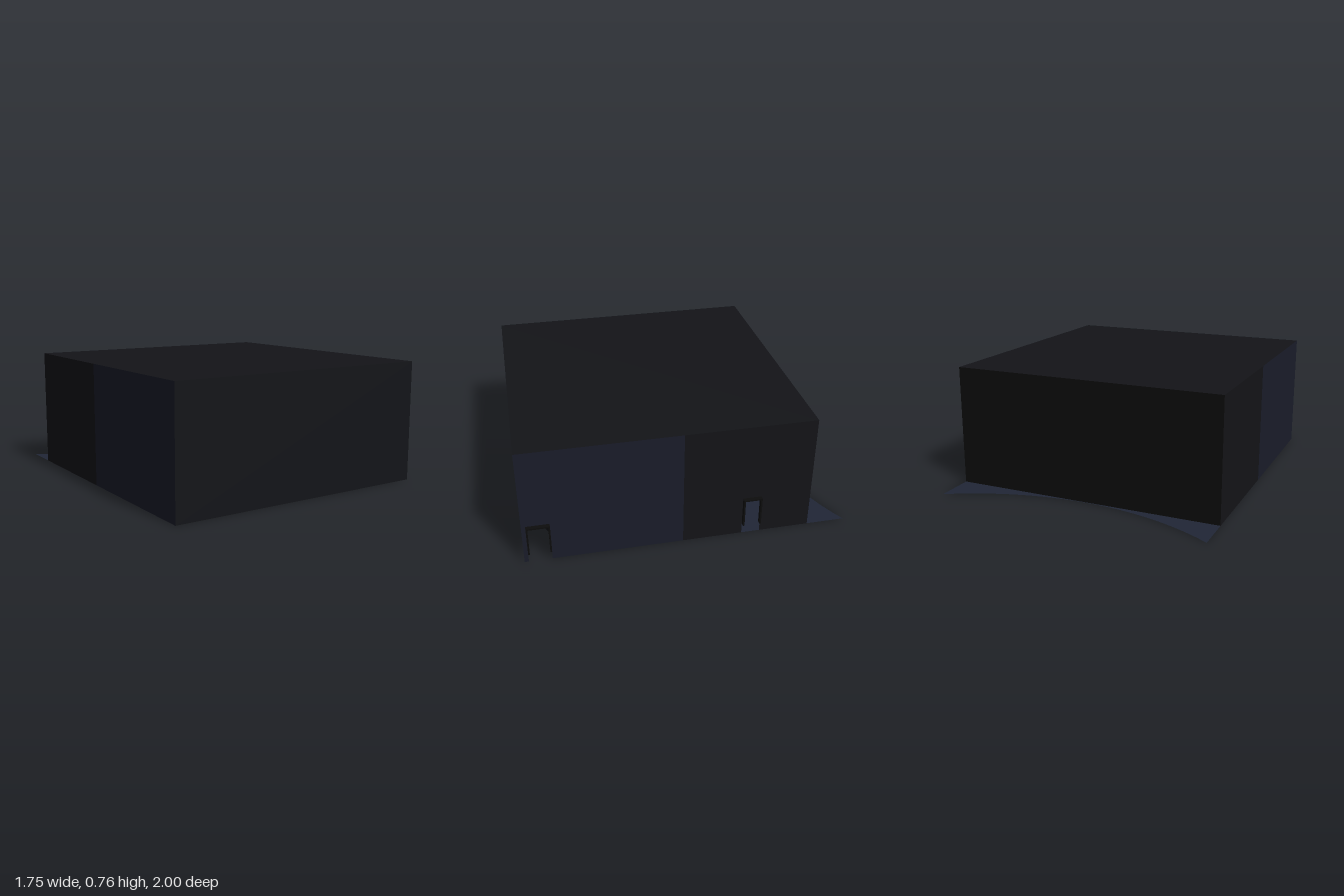
import * as THREE from 'three';
import { toCreasedNormals } from 'three/addons/utils/BufferGeometryUtils.js';

const LEFT = 0.85, RIGHT = -0.875, MID = (LEFT + RIGHT) / 2, WIDTH = LEFT - RIGHT;
const FRONT = 1, BACK = -0.76, HEIGHT = 0.76, SPLIT = 0.04;
const DOOR_TOP = 0.26;
const doors = [[-0.445, -0.33], [0.835, 0.975]];

const mat = (color) => new THREE.MeshStandardMaterial({ color, side: THREE.DoubleSide });
const blue = mat(0x1a1d2a), dark = mat(0x141418), black = mat(0x0d0d0d);
const shell = mat(0x131418), carpet = mat(0x202636);

function add(parent, name, geometry, material, x = 0, y = 0, z = 0) {
  const mesh = new THREE.Mesh(geometry, material);
  mesh.name = name;
  mesh.position.set(x, y, z);
  parent.add(mesh);
  return mesh;
}

// Upright sheet in the z-y plane, with doorways cut from its lower edge
function sideWall(parent, name, x, z0, z1, material, cuts = []) {
  const s = new THREE.Shape();
  s.moveTo(z0, 0);
  for (const [a, b] of cuts) {
    s.lineTo(a, 0);
    s.lineTo(a, DOOR_TOP);
    s.lineTo(b, DOOR_TOP);
    s.lineTo(b, 0);
  }
  s.lineTo(z1, 0);
  s.lineTo(z1, HEIGHT);
  s.lineTo(z0, HEIGHT);
  add(parent, name, new THREE.ShapeGeometry(s), material, x).rotation.y = -Math.PI / 2;
}

// Sweeps a (z, y) profile across the hall, bowed along a circular arc
function bowedSheet(profile) {
  const R = 1.69, N = 48, pos = [], index = [];
  for (let i = 0; i <= N; i++) {
    const x = (i / N - 0.5) * WIDTH;
    const bow = Math.sqrt(R * R - x * x) - R;
    for (const [z, y] of profile) pos.push(x + MID, y, z + bow);
  }
  const n = profile.length;
  for (let i = 0; i < N; i++) {
    for (let j = 0; j < n - 1; j++) {
      const a = i * n + j, b = a + n;
      index.push(a, a + 1, b, b, a + 1, b + 1);
    }
  }
  const g = new THREE.BufferGeometry();
  g.setAttribute('position', new THREE.Float32BufferAttribute(pos, 3));
  g.setIndex(index);
  return toCreasedNormals(g, 0.5);
}

export function createModel() {
  const hall = new THREE.Group();
  hall.name = 'auditorium';

  // Roof, front wall and back wall
  add(hall, 'roof', new THREE.PlaneGeometry(WIDTH, FRONT - BACK), shell, MID, HEIGHT, (FRONT + BACK) / 2)
    .rotation.x = -Math.PI / 2;
  add(hall, 'frontWall', new THREE.PlaneGeometry(WIDTH, HEIGHT), shell, MID, HEIGHT / 2, FRONT);
  add(hall, 'backWall', new THREE.PlaneGeometry(WIDTH, HEIGHT), black, MID, HEIGHT / 2, BACK)
    .rotation.y = Math.PI;

  // Side walls in two tones, with the doorways on the left
  sideWall(hall, 'leftWallBack', LEFT, BACK, SPLIT, dark, [doors[0]]);
  sideWall(hall, 'leftWallFront', LEFT, SPLIT, FRONT, blue, [doors[1]]);
  sideWall(hall, 'rightWallBack', RIGHT, BACK, SPLIT, dark);
  sideWall(hall, 'rightWallFront', RIGHT, SPLIT, FRONT, blue);

  // Door frames standing proud of the left wall
  for (const [a, b] of doors) {
    const frame = new THREE.Group();
    frame.name = 'doorFrame';
    const t = 0.01, low = 0.07, x = LEFT + 0.0125;
    for (const z of [a + t / 2, b - t / 2]) {
      add(frame, 'jamb', new THREE.BoxGeometry(0.025, DOOR_TOP - low, t), black, x, (DOOR_TOP + low) / 2, z);
    }
    add(frame, 'lintel', new THREE.BoxGeometry(0.025, t, b - a), black, x, DOOR_TOP - t / 2, (a + b) / 2);
    hall.add(frame);
  }

  // Floor: a flat apron, then low curved tiers rising to the front wall
  const steps = 5, rise = 0.016, firstZ = 0.1, tread = 0.18;
  const profile = [[-0.765, 0]];
  for (let i = 0; i < steps; i++) {
    const z = firstZ + i * tread;
    profile.push([z, i * rise], [z, (i + 1) * rise]);
  }
  profile.push([0.998, steps * rise]);
  add(hall, 'tieredFloor', bowedSheet(profile), carpet);

  // Curved parapet behind the last tier
  add(hall, 'parapet', bowedSheet([[0.998, steps * rise], [0.998, 0.22]]), dark);

  return hall;
}
